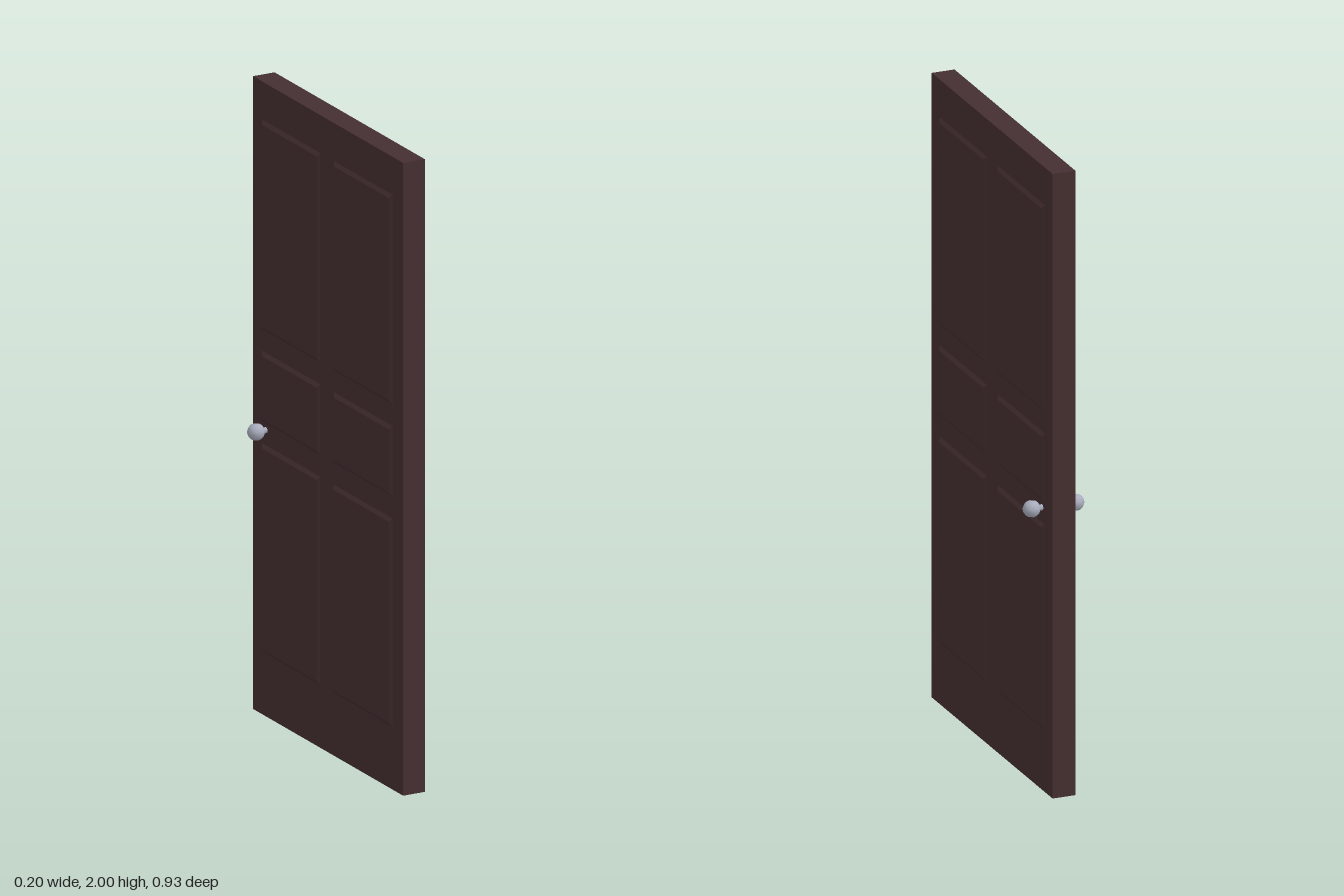
import * as THREE from 'three';

const wood = new THREE.MeshStandardMaterial({ color: 0x452f31 });
wood.name = 'dark wood';
const metal = new THREE.MeshStandardMaterial({ color: 0xa9adbd });
metal.name = 'silver metal';

const HALF = 0.037;   // half thickness of the slab
const RAISE = 0.008;  // height of the raised panels
const BEVEL = 0.012;  // width of their sloped border

function add(parent, name, geometry, material, x, y, z) {
  const mesh = new THREE.Mesh(geometry, material);
  mesh.name = name;
  mesh.position.set(x, y, z);
  parent.add(mesh);
  return mesh;
}

// Raised panel: a thin box whose outer face is drawn in to slope the border
function panelGeometry(height, width, side) {
  const depth = RAISE + 0.004;
  const g = new THREE.BoxGeometry(depth, height, width);
  const p = g.attributes.position;
  for (let i = 0; i < p.count; i++) {
    if (p.getX(i) * side > 0) {
      p.setY(i, p.getY(i) - Math.sign(p.getY(i)) * BEVEL);
      p.setZ(i, p.getZ(i) - Math.sign(p.getZ(i)) * BEVEL);
    } else {
      p.setX(i, -side * (depth / 2 - 0.004)); // base flush with the slab
    }
  }
  g.computeVertexNormals();
  return g;
}

export function createModel() {
  const door = new THREE.Group();
  door.name = 'panelledDoor';

  add(door, 'slab', new THREE.BoxGeometry(HALF * 2, 2, 0.925), wood, 0, 1, 0);

  const rows = [[0.198, 0.857], [0.926, 1.149], [1.217, 1.88]];
  const columns = [[0.038, 0.4], [-0.405, -0.046]];

  for (const side of [-1, 1]) {
    const face = new THREE.Group();
    face.name = side > 0 ? 'leftFace' : 'rightFace';
    door.add(face);

    // Six raised panels
    for (const [y0, y1] of rows) {
      for (const [z0, z1] of columns) {
        add(face, 'raisedPanel', panelGeometry(y1 - y0, z1 - z0, side), wood,
          side * (HALF + RAISE / 2 - 0.002), (y0 + y1) / 2, (z0 + z1) / 2);
      }
    }

    // Round knob on a short stem
    const stem = add(face, 'knobStem', new THREE.CylinderGeometry(0.01, 0.01, 0.03, 8),
      metal, side * 0.046, 0.905, -0.382);
    stem.rotation.z = Math.PI / 2;
    const knob = add(face, 'knob', new THREE.SphereGeometry(0.027, 10, 8),
      metal, side * 0.071, 0.905, -0.382);
    knob.rotation.z = Math.PI / 2;
  }
  return door;
}
